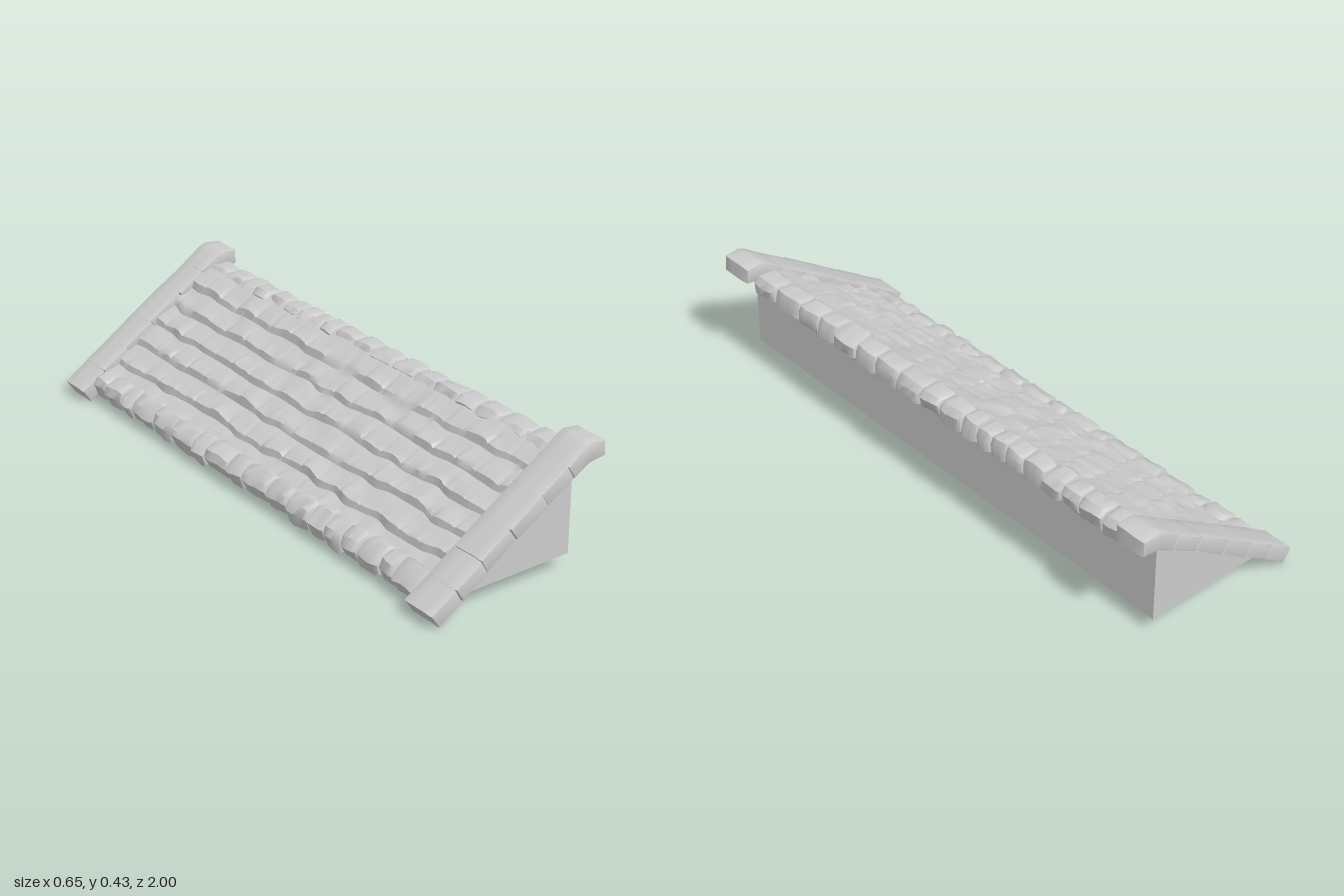
import * as THREE from 'three';
import { toCreasedNormals } from 'three/addons/utils/BufferGeometryUtils.js';

const mat = new THREE.MeshStandardMaterial({ color: 0xcccccc, side: THREE.DoubleSide });

// seeded random numbers and smooth value noise
let seed = 7;
const rand = () => (seed = (seed * 16807) % 2147483647) / 2147483647;
const vary = (a) => (rand() * 2 - 1) * a;
const hash = (i, j) => {
  const s = Math.sin(i * 127.1 + j * 311.7) * 43758.5453;
  return s - Math.floor(s);
};
const noise = (v, row) => {
  const i = Math.floor(v), f = v - i, s = f * f * (3 - 2 * f);
  return (hash(i, row) * (1 - s) + hash(i + 1, row) * s) * 2 - 1;
};

// one stone: an xy profile run along z with worn, bevelled edges
function stone(name, profile, z0, z1, bevel, wear) {
  const shape = new THREE.Shape(profile.map(([x, y]) => new THREE.Vector2(x + vary(wear), y + vary(wear))));
  const geo = new THREE.ExtrudeGeometry(shape, {
    depth: z1 - z0 - 2 * bevel, steps: 3, bevelThickness: bevel, bevelSize: bevel,
    bevelOffset: -bevel, bevelSegments: 2,
  });
  geo.translate(0, 0, z0 + bevel);
  const p = geo.attributes.position;
  for (let i = 0; i < p.count; i++) {
    const x = p.getX(i), y = p.getY(i), z = p.getZ(i);
    p.setX(i, x + wear * 0.5 * Math.sin(z * 61 + y * 40));
    p.setY(i, y + wear * 0.5 * Math.sin(z * 53 + x * 35));
  }
  const mesh = new THREE.Mesh(toCreasedNormals(geo, 0.7), mat);
  mesh.name = name;
  return mesh;
}

// sloping stones along one gable, from the eave up to the ridge
function gableTrim(name, z0, z1) {
  const g = new THREE.Group();
  g.name = name;
  const top = [[-0.326, 0.048], [-0.239, 0.105], [-0.143, 0.167], [-0.038, 0.236], [0.082, 0.313], [0.178, 0.371]];
  const low = [[-0.294, 0.002], [-0.211, 0.06], [-0.118, 0.121], [-0.01, 0.193], [0.107, 0.268], [0.205, 0.327]];
  for (let i = 0; i < 5; i++) {
    const end = i ? vary(0.004) : 0;
    g.add(stone('gableStone', [low[i], low[i + 1], top[i + 1], top[i]], z0, z1 + end, 0.007, 0.0015));
  }
  g.add(stone('gableCapStone', [low[5], [0.26, 0.361], [0.323, 0.368], [0.32, 0.419], [0.265, 0.426],
    [0.243, 0.418], top[5]], z0, z1, 0.007, 0.0015));
  return g;
}

// a row of uneven stones along the length of the roof
function stoneRow(name, profile, count) {
  const g = new THREE.Group();
  g.name = name;
  const widths = Array.from({ length: count }, () => 0.65 + rand() * 0.7);
  const scale = 1.77 / widths.reduce((a, b) => a + b);
  let z = -0.89;
  for (const w of widths) {
    g.add(stone(name + 'Stone', profile, z, z + w * scale, 0.014, 0.005));
    z += w * scale;
  }
  return g;
}

// overlapping courses of uneven shingles, each with a raised lower lip
function shingles() {
  const edges = [-0.25, -0.175, -0.098, -0.022, 0.055, 0.13, 0.23];
  const steps = [0, 0.07, 0.2, 0.45, 0.75, 1];
  const cols = 190, pos = [], idx = [];
  let lines = 0;
  for (let r = 0; r < 6; r++) {
    for (const t of steps) {
      for (let j = 0; j <= cols; j++) {
        const z = -0.93 + (1.86 * j) / cols;
        const v = z * 10 + r * 0.43;
        const edge = (k) => edges[k] + 0.007 * noise(z * 14 + k * 0.37, k + 20);
        const x = edge(r) * (1 - t) + edge(r + 1) * t;
        const tile = hash(Math.floor(v), r) * 0.008;
        const gap = Math.abs(v - Math.round(v)) < 0.06 ? 0.004 : 0;
        const lip = t === 0 ? 0 : (0.015 + tile + 0.006 * noise(z * 16, r + 40) - gap) * (1 - t);
        const wave = 0.004 * noise(z * 12 + 5, r + t);
        pos.push(x, 0.66 * x + 0.231 + lip + (t > 0 && t < 1 ? wave : 0), z);
      }
      lines++;
    }
  }
  const n = cols + 1;
  for (let i = 0; i < lines - 1; i++) {
    for (let j = 0; j < cols; j++) {
      const a = i * n + j;
      idx.push(a, a + 1, a + n + 1, a, a + n + 1, a + n);
    }
  }
  const geo = new THREE.BufferGeometry();
  geo.setAttribute('position', new THREE.Float32BufferAttribute(pos, 3));
  geo.setIndex(idx);
  const mesh = new THREE.Mesh(toCreasedNormals(geo, 0.7), mat);
  mesh.name = 'shingles';
  return mesh;
}

export function createModel() {
  seed = 7;
  const model = new THREE.Group();
  model.name = 'leanToRoof';

  // plain wedge that carries the roof
  const tri = new THREE.Shape([[-0.22, 0.055], [0.228, 0.055], [0.228, 0.358]].map((p) => new THREE.Vector2(...p)));
  const wedge = new THREE.Mesh(
    new THREE.ExtrudeGeometry(tri, { depth: 1.92, bevelEnabled: false }).translate(0, 0, -0.96), mat);
  wedge.name = 'wedge';
  model.add(wedge, shingles());

  // stone border on all four sides
  model.add(gableTrim('frontGable', 0.87, 0.998), gableTrim('backGable', -1, -0.885));
  model.add(stoneRow('eave', [[-0.27, 0.018], [-0.205, 0.014], [-0.198, 0.05], [-0.205, 0.098],
    [-0.235, 0.106], [-0.274, 0.086], [-0.288, 0.06]], 18));
  model.add(stoneRow('ridge', [[0.222, 0.318], [0.275, 0.314], [0.294, 0.325], [0.296, 0.365],
    [0.28, 0.386], [0.225, 0.388], [0.204, 0.37], [0.208, 0.335]], 19));
  return model;
}
